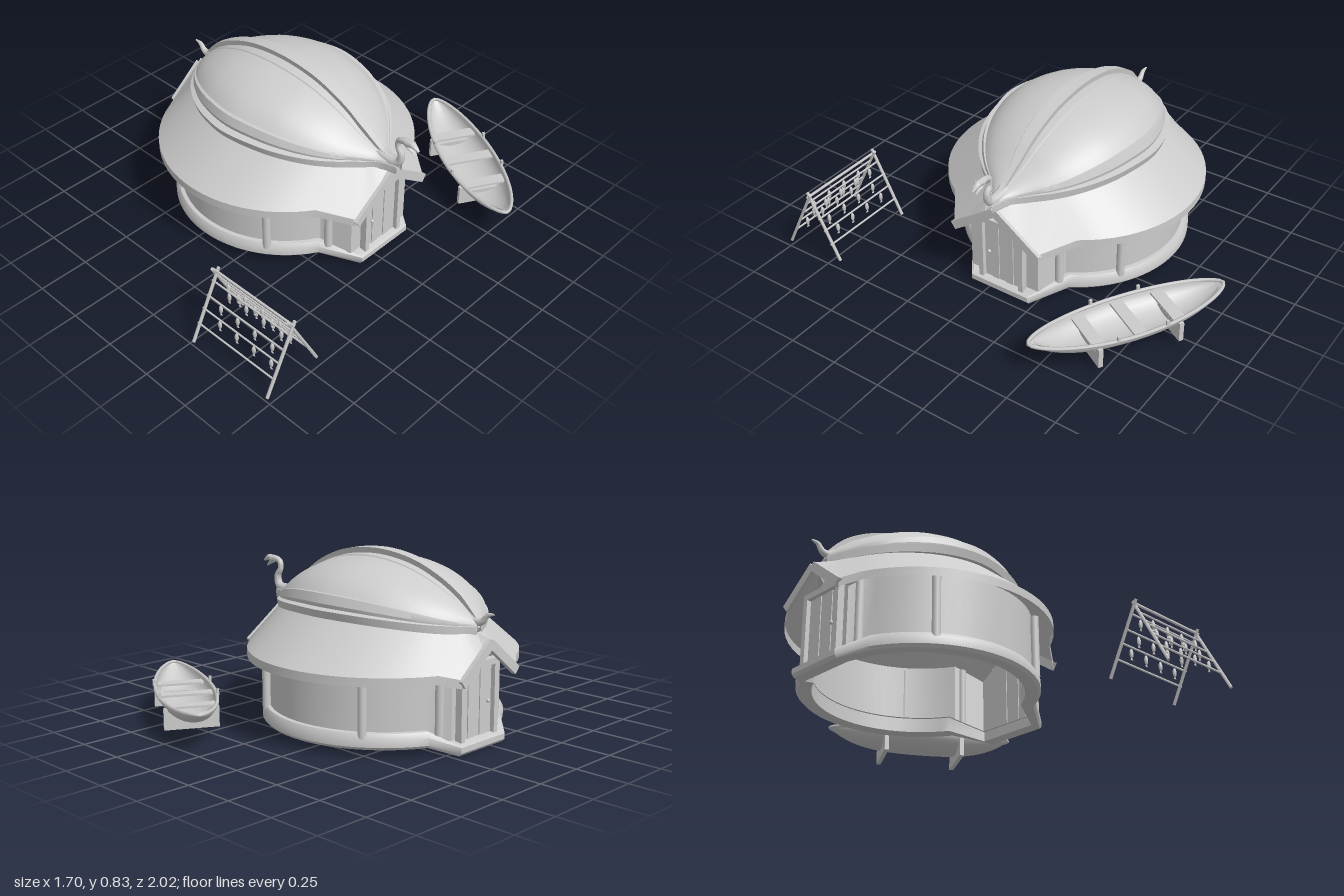
import * as THREE from 'three';
import { toCreasedNormals } from 'three/addons/utils/BufferGeometryUtils.js';

const V = (x, y, z) => new THREE.Vector3(x, y, z);
const CX = -0.2, CZ = -0.065;            // centre of the round house
const grey = new THREE.MeshStandardMaterial({ color: 0xcccccc, side: THREE.DoubleSide });

function mesh(name, geo, parent, x = 0, y = 0, z = 0) {
  const m = new THREE.Mesh(geo, grey);
  m.name = name;
  m.position.set(x, y, z);
  parent.add(m);
  return m;
}
const box = (name, p, w, h, d, x, y, z) => mesh(name, new THREE.BoxGeometry(w, h, d), p, x, y, z);

// Skin a surface over rows of points
function loft(rows, closed = false, crease = 0.6) {
  const n = rows[0].length, pos = [], idx = [];
  rows.forEach(r => r.forEach(p => pos.push(p.x, p.y, p.z)));
  for (let i = 0; i < rows.length - 1; i++)
    for (let j = 0; j < (closed ? n : n - 1); j++) {
      const a = i * n + j, b = i * n + (j + 1) % n;
      idx.push(a, b, a + n, b, b + n, a + n);
    }
  const g = new THREE.BufferGeometry();
  g.setAttribute('position', new THREE.Float32BufferAttribute(pos, 3));
  g.setIndex(idx);
  return toCreasedNormals(g, crease);
}

// Tube whose radius follows a list
function taperTube(points, radii, flat = 1, steps = 20, sides = 8) {
  const curve = new THREE.CatmullRomCurve3(points);
  const rows = [];
  for (let i = 0; i <= steps; i++) {
    const f = i / steps * (radii.length - 1), k = Math.min(Math.floor(f), radii.length - 2);
    const r = THREE.MathUtils.lerp(radii[k], radii[k + 1], f - k);
    const p = curve.getPoint(i / steps), t = curve.getTangent(i / steps);
    const up = V(-t.y, t.x, 0).normalize(), side = V(0, 0, 1);
    const row = [];
    for (let j = 0; j < sides; j++) {
      const a = j / sides * Math.PI * 2;
      row.push(p.clone().addScaledVector(up, r * Math.sin(a)).addScaledVector(side, r * flat * Math.cos(a)));
    }
    rows.push(row);
  }
  return loft(rows, true, 1);
}

function rod(name, parent, a, b, r, sides = 6) {
  const d = b.clone().sub(a);
  const m = mesh(name, new THREE.CylinderGeometry(r, r, d.length(), sides), parent);
  m.position.copy(a).addScaledVector(d, 0.5);
  m.quaternion.setFromUnitVectors(V(0, 1, 0), d.normalize());
  return m;
}

// Round plan with a straight porch at either end; porch() / round() give heights
function outline(r, fx, fz, bx, bz, yFn, a0 = 33.4, a1 = 155) {
  const half = [];
  for (let i = 0; i <= 4; i++) half.push([fx, fz * i / 4, 1]);
  for (let i = 0; i <= 24; i++) {
    const a = THREE.MathUtils.degToRad(a0 + (a1 - a0) * i / 24);
    half.push([CX + r * Math.cos(a), r * Math.sin(a), 0]);
  }
  for (let i = 4; i >= 0; i--) half.push([bx, bz * i / 4, -1]);
  const pts = half.map(([x, d, p]) => V(x, yFn(p, d), CZ + d));
  const back = half.slice(1, -1).reverse().map(([x, d, p]) => V(x, yFn(p, d), CZ - d));
  return pts.concat(back);
}

// Upturned ship hull: x, half width, crown height
const hullCurve = new THREE.CatmullRomCurve3([
  [-0.77, 0.012, 0.56], [-0.72, 0.10, 0.605], [-0.65, 0.19, 0.66], [-0.55, 0.27, 0.717],
  [-0.4, 0.345, 0.772], [-0.2, 0.385, 0.797], [0, 0.355, 0.777], [0.12, 0.31, 0.738], [0.22, 0.25, 0.688],
  [0.3, 0.18, 0.632], [0.37, 0.10, 0.59], [0.43, 0.045, 0.563], [0.52, 0.018, 0.555]
].map(p => V(...p)));
const stations = hullCurve.getPoints(60);
const rimY = x => Math.max(0.542, 0.6 - 0.055 * ((x + 0.2) / 0.57) ** 2);
function hullAt(x) {
  const i = Math.max(1, stations.findIndex(s => s.x >= x)), a = stations[i - 1], b = stations[i];
  return a.clone().lerp(b, (x - a.x) / (b.x - a.x));
}

function buildHouse(g) {
  // Eaves and the roof skirt between them and the hull
  const eaveY = (p, d) => p > 0 ? 0.5 - d * 0.7 : p < 0 ? 0.5 - d * 0.8 : 0.375;
  const eave = outline(0.63, 0.475, 0.235, -0.83, 0.185, eaveY);
  const lip = eave.map(p => V(p.x, p.y - 0.04, p.z));
  const rim = eave.map(p => {
    const d = p.z - CZ, ad = Math.abs(d);
    let x = CX + 0.03 + (p.x - CX) * 0.87;
    if (p.x > 0.47) x = 0.45 - 0.09 * ad / 0.235;
    if (p.x < -0.82) x = -0.76 + 0.04 * ad / 0.185;
    return V(x, rimY(x) - 0.03, CZ + Math.sign(d) * hullAt(x).y * 1.02);
  });
  mesh('roofSkirt', loft([lip, eave, rim], true, 0.5), g);

  // Wall
  const wallTop = (p, d) => p > 0 ? 0.47 - d * 0.7 : p < 0 ? 0.46 - d * 0.7 : 0.4;
  const wall = y => outline(0.53, 0.41, 0.19, -0.75, 0.15, y, 28, 158);
  mesh('wall', loft([wall(() => 0.06), wall(wallTop)], true, 0.5), g);

  // Rounded base ring, lower at the doorsteps
  const ring = (off, y, drop) => outline(0.56 + off, 0.455 + off, 0.16, -0.805 + -off, 0.15, p => y - (p ? drop : 0), 30, 154);
  mesh('baseRing', loft([ring(-0.07, 0.11, 0.06), ring(-0.07, 0.04, 0.038), ring(-0.01, 0.036, 0.036),
    ring(0.003, 0.05, 0.036), ring(0.003, 0.085, 0.045), ring(-0.012, 0.108, 0.06), ring(-0.07, 0.115, 0.06)], true, 0.7), g);

  // Posts around the wall
  for (const s of [-1, 1]) {
    for (const [x, d] of [[-0.505, 0.45], [0.11, 0.45], [-0.715, 0.19], [0.31, 0.24]])
      mesh('wallPost', new THREE.CylinderGeometry(0.02, 0.02, 0.3, 12), g, x, 0.235, CZ + s * d);
  }

  // Door and gable boards at either end
  for (const [dir, x, gx, gz, slope] of [[1, 0.415, 0.475, 0.235, 0.7], [-1, -0.755, -0.83, 0.185, 0.8]]) {
    const door = new THREE.Group();
    door.name = dir > 0 ? 'frontDoor' : 'rearDoor';
    g.add(door);
    for (const s of [-1, 1]) {
      box('doorPost', door, 0.035, 0.34, 0.025, x + dir * 0.012, 0.21, CZ + s * 0.112);
      const foot = V(gx + dir * 0.002, 0.478 - gz * slope, CZ + s * gz), peak = V(gx + dir * 0.002, 0.478, CZ);
      const board = box('gableBoard', door, 0.022, 0.042, foot.distanceTo(peak), 0, 0, 0);
      board.position.copy(foot).lerp(peak, 0.5);
      board.rotation.x = s * Math.atan(slope);
    }
    box('lintel', door, 0.035, 0.028, 0.25, x + dir * 0.012, 0.378, CZ);
    for (let i = -2; i <= 2; i++)
      box('doorPlank', door, 0.016 + (i % 2 ? 0.006 : 0), 0.32, 0.038, x, 0.205, CZ + i * 0.04);
    mesh('doorKnob', new THREE.SphereGeometry(0.009, 10, 8), door, x + dir * 0.018, 0.2, CZ + 0.07);
  }
}

function buildShipRoof(g) {
  // Half section: rim wale, strake, shell and crown plank, as fractions of width and height
  const half = [[1.0, -0.22], [1.09, -0.2], [1.12, 0], [1.03, 0.03], [1.04, 0.12], [1.0, 0.33], [0.95, 0.33]];
  for (let a = 0.42; a < 1.36; a += 0.13) half.push([Math.cos(a), Math.sin(a)]);
  half.push([0.2, 0.98], [0.19, 1.01], [0, 1.03]);
  const section = half.concat(half.slice(0, -1).reverse().map(([u, v]) => [-u, v]));
  mesh('hullRoof', loft(stations.map(s => {
    const y = rimY(s.x), h = s.z - y;
    return section.map(([u, v]) => V(s.x, y + (v < 0 ? v * 0.18 : v * h), CZ + u * s.y));
  }), false, 0.45), g);

  // Keel along the crown
  mesh('keel', loft(stations.map(s => {
    const w = 0.008 + 0.022 * s.y / 0.385, t = s.z + 0.008 + 0.022 * Math.min(1, s.y / 0.15);
    return [V(s.x, s.z - 0.02, CZ - w * 0.8), V(s.x, t, CZ - w), V(s.x, t, CZ + w), V(s.x, s.z - 0.02, CZ + w * 0.8)];
  }), true, 0.5), g);

  // Serpent prow and curled stern
  const prow = new THREE.Group();
  prow.name = 'serpentProw';
  prow.position.z = CZ;
  g.add(prow);
  mesh('neck', taperTube([V(0.4, 0.555, 0), V(0.48, 0.548, 0), V(0.518, 0.565, 0), V(0.527, 0.61, 0), V(0.507, 0.645, 0),
    V(0.51, 0.68, 0), V(0.54, 0.692, 0), V(0.572, 0.69, 0)], [0.03, 0.027, 0.02, 0.017, 0.014, 0.014, 0.016, 0.02], 1, 40), prow);
  mesh('upperJaw', taperTube([V(0.555, 0.692, 0), V(0.59, 0.694, 0), V(0.625, 0.675, 0)], [0.016, 0.015, 0.005], 1.2), prow);
  mesh('lowerJaw', taperTube([V(0.558, 0.682, 0), V(0.583, 0.667, 0), V(0.605, 0.65, 0)], [0.012, 0.009, 0.003], 1.4), prow);
  for (const s of [-1, 1]) mesh('eye', new THREE.SphereGeometry(0.005, 8, 6), prow, 0.588, 0.702, s * 0.013);
  mesh('sternTail', taperTube([V(-0.71, 0.585, CZ), V(-0.76, 0.565, CZ), V(-0.79, 0.572, CZ), V(-0.815, 0.6, CZ), V(-0.85, 0.608, CZ)],
    [0.025, 0.02, 0.015, 0.011, 0.004], 1), g);
}

function buildBoat(g) {
  const boat = new THREE.Group();
  boat.name = 'rowingBoat';
  boat.position.set(0.42, 0, -0.745);
  boat.rotation.y = -0.528;
  g.add(boat);
  const L = 0.485, width = t => 0.132 * Math.pow(Math.max(0, 1 - t * t), 0.65) + 0.002;
  const top = t => 0.163 + 0.02 * t * t;
  const shell = k => {
    const rows = [];
    for (let i = 0; i <= 32; i++) {
      const t = -Math.cos(i / 32 * Math.PI), row = [];
      for (let j = 0; j <= 14; j++) {
        const a = j / 14 * Math.PI;
        row.push(V(t * L * k, top(t) - 0.085 * k * (1 - t ** 4) * Math.sin(a), -Math.cos(a) * width(t) * k));
      }
      rows.push(row);
    }
    return loft(rows, false, 1);
  };
  mesh('boatHull', shell(1), boat);
  mesh('boatLining', shell(0.95), boat);
  const edge = [];
  for (let i = 0; i < 64; i++) {
    const a = i / 64 * Math.PI * 2, t = Math.cos(a);
    edge.push(V(t * L, top(t), Math.sign(Math.sin(a)) * width(t)));
  }
  mesh('gunwale', new THREE.TubeGeometry(new THREE.CatmullRomCurve3(edge, true), 96, 0.009, 6, true), boat);
  for (const x of [-0.2, 0, 0.2]) box('boatSeat', boat, 0.06, 0.01, width(x / L) * 1.85, x, 0.148, 0);
  for (const x of [-0.2, 0.2]) {
    box('boatSupport', boat, 0.022, 0.07, 0.25, x, 0.077, 0);
    for (const s of [-1, 1]) {
      box('supportHorn', boat, 0.022, 0.03, 0.03, x, 0.125, s * 0.11);
      box('oarLock', boat, 0.014, 0.028, 0.012, x * 0.6, 0.18, s * (width(x * 0.6 / L) + 0.004));
    }
  }
}

function buildRack(g) {
  const rack = new THREE.Group();
  rack.name = 'fishDryingRack';
  rack.position.set(0.5, 0, 0.845);
  g.add(rack);
  const zAt = y => (0.335 - y) * 0.505;
  for (const s of [-1, 1]) {
    // Crossed legs at each end
    for (const e of [-1, 1])
      rod('rackLeg', rack, V(e * 0.23 + s * 0.006, 0.028, s * zAt(0.028)), V(e * 0.23 + s * 0.006, 0.362, s * zAt(0.362)), 0.008);
    [0.11, 0.177, 0.235, 0.3].forEach((y, k) => {
      rod('rackRail', rack, V(-0.235, y, s * zAt(y)), V(0.235, y, s * zAt(y)), 0.005);
      // Hanging fish
      if (k) for (let i = 0; i < 4; i++) {
        const x = -0.15 + i * 0.105 + (k % 2) * 0.022 * s;
        const fish = mesh('fish', new THREE.SphereGeometry(0.024, 8, 6), rack, x, y - 0.032, s * zAt(y));
        fish.scale.set(0.42, 1, 0.35);
        const tail = mesh('fishTail', new THREE.ConeGeometry(0.01, 0.016, 4), rack, x, y - 0.056, s * zAt(y));
        tail.scale.z = 0.4;
      }
    });
  }
  rod('ridgePole', rack, V(-0.245, 0.347, 0), V(0.245, 0.347, 0), 0.007);
}

export function createModel() {
  const model = new THREE.Group();
  model.name = 'shipRoofHouse';
  buildHouse(model);
  buildShipRoof(model);
  buildBoat(model);
  buildRack(model);
  return model;
}
